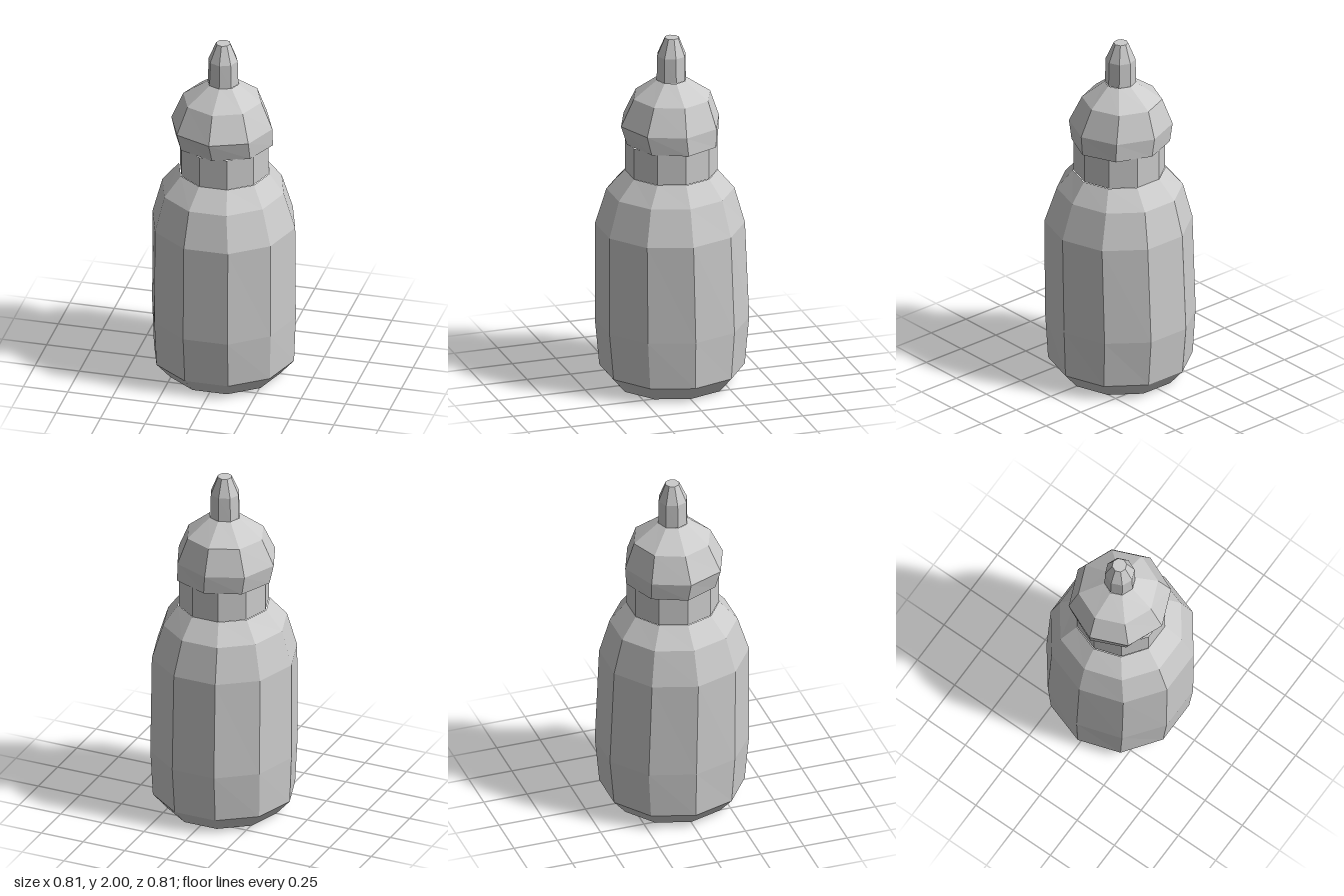
import * as THREE from 'three';

const grey = new THREE.MeshStandardMaterial({ color: 0xcccccc, flatShading: true });
grey.name = 'grey plastic';

// Faceted lathe; each ring is [y, radiusX, radiusZ, centreX, centreZ]
function facetedPart(name, sides, rings) {
  const profile = rings.map(([y]) => new THREE.Vector2(1, y));
  const geometry = new THREE.LatheGeometry(profile, sides, Math.PI / 2);
  const pos = geometry.attributes.position;
  for (let i = 0; i < pos.count; i++) {
    const [y, rx, rz, cx = 0, cz = 0] = rings[i % rings.length];
    pos.setXYZ(i, pos.getX(i) * rx + cx, y, pos.getZ(i) * rz + cz);
  }
  geometry.computeVertexNormals();
  const mesh = new THREE.Mesh(geometry, grey);
  mesh.name = name;
  return mesh;
}

export function createModel() {
  const group = new THREE.Group();
  group.name = 'squeezeBottle';

  // Ten-sided body with bevelled base, rounded shoulder and neck
  group.add(facetedPart('bottleBody', 10, [
    [0, 0, 0],
    [0, 0.315, 0.32],
    [0.09, 0.395, 0.397],
    [0.36, 0.405, 0.423],
    [0.92, 0.402, 0.41, 0.003, 0.013],
    [1.12, 0.342, 0.35, -0.003, 0.008],
    [1.23, 0.255, 0.253, 0.003, 0.005],
  ]));
  group.add(facetedPart('neck', 10, [
    [1.23, 0.25, 0.253, 0.003, 0.005],
    [1.41, 0.25, 0.253, 0.003, 0.005],
  ]));

  // Eight-sided domed cap with a closed underside
  group.add(facetedPart('cap', 8, [
    [1.405, 0, 0],
    [1.405, 0.275, 0.262, 0, -0.003],
    [1.51, 0.285, 0.282, -0.01, 0.008],
    [1.66, 0.22, 0.22, -0.01, -0.003],
    [1.76, 0.088, 0.084, -0.003, 0.003],
  ]));

  // Narrow nozzle with a tapered tip
  group.add(facetedPart('nozzle', 8, [
    [1.76, 0.086, 0.084, -0.004, 0.003],
    [1.9, 0.082, 0.082, -0.004, 0.003],
    [2, 0.04, 0.04, -0.004, 0],
    [2, 0, 0, -0.004, 0],
  ]));

  return group;
}
